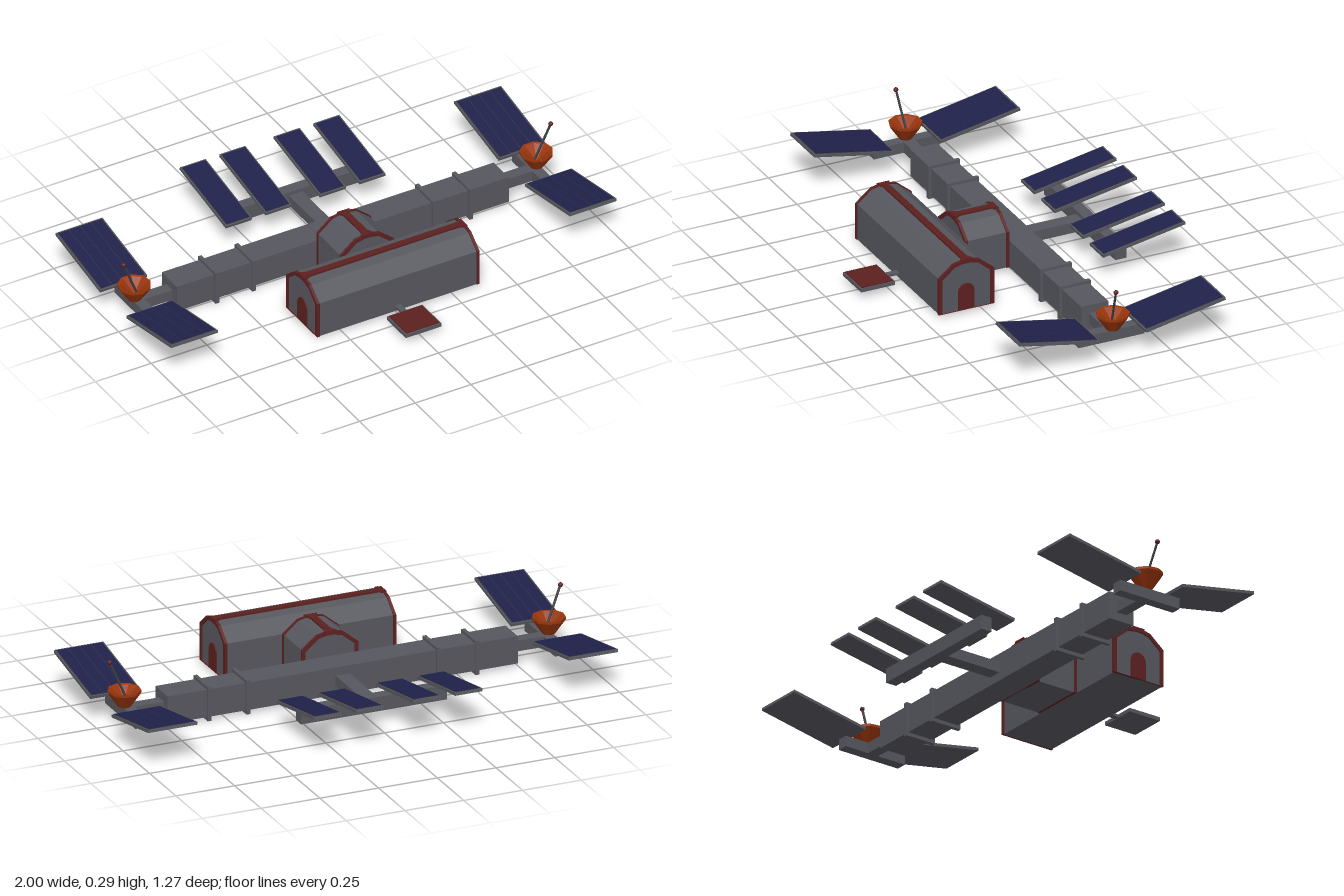
import * as THREE from 'three';

const mat = (name, color, extra = {}) => {
  const m = new THREE.MeshStandardMaterial({ color, flatShading: true, ...extra });
  m.name = name;
  return m;
};

export function createModel() {
  const root = new THREE.Group();
  root.name = 'spaceStation';
  const hull = mat('hullGrey', 0x56575e);
  const dark = mat('darkGrey', 0x3c3d42);
  const red = mat('darkRed', 0x5c2020);
  const navy = mat('solarNavy', 0x20214a);
  const rust = mat('rustOrange', 0x98350c, { side: THREE.DoubleSide });

  const add = (parent, name, geo, material, x = 0, y = 0, z = 0) => {
    const m = new THREE.Mesh(geo, material);
    m.name = name;
    m.position.set(x, y, z);
    parent.add(m);
    return m;
  };
  // Box given by its min and max on each axis
  const box = (parent, name, material, x0, x1, y0, y1, z0, z1) =>
    add(parent, name, new THREE.BoxGeometry(x1 - x0, y1 - y0, z1 - z0), material,
      (x0 + x1) / 2, (y0 + y1) / 2, (z0 + z1) / 2);
  const extrude = (shape, depth) =>
    new THREE.ExtrudeGeometry(shape, { depth, bevelEnabled: false }).translate(0, 0, -depth / 2);

  // Vaulted cross-section, inset by d
  const vaultPoints = (d) => {
    const half = [[0.12 - d, 0.015], [0.12 - d, 0.17 - d * 0.5], [0.055 - d * 0.3, 0.223 - d], [0.015, 0.231 - d]];
    return [...half, ...half.slice().reverse().map(([u, y]) => [-u, y])]
      .map(([u, y]) => new THREE.Vector2(u, y));
  };

  // Vaulted module along z with red end frames and a flared ridge strip
  const vault = (name, length) => {
    const g = new THREE.Group();
    g.name = name;
    add(g, 'moduleShell', extrude(new THREE.Shape(vaultPoints(0.004)), length - 0.012), hull);
    const frame = new THREE.Shape(vaultPoints(0));
    frame.holes.push(new THREE.Path(vaultPoints(0.015).reverse()));
    const frameGeo = extrude(frame, 0.012);
    const e = length / 2;
    for (const s of [-1, 1]) add(g, 'endFrame', frameGeo, red, 0, 0, s * (e - 0.006));
    const f = e - 0.03;
    const strip = new THREE.Shape([
      [-0.028, -e], [0.028, -e], [0.014, -f], [0.014, f],
      [0.028, e], [-0.028, e], [-0.014, f], [-0.014, -f],
    ].map(([a, b]) => new THREE.Vector2(a, b)));
    add(g, 'ridgeStrip', extrude(strip, 0.009).rotateX(-Math.PI / 2), red, 0, 0.2305, 0);
    root.add(g);
    return g;
  };

  // Main habitat, lying along x, with an arched door at each end
  const habitat = vault('habitat', 0.73);
  habitat.rotation.y = Math.PI / 2;
  habitat.position.z = 0.32;
  const door = new THREE.Shape();
  door.moveTo(-0.035, 0.016);
  door.lineTo(0.035, 0.016);
  door.lineTo(0.035, 0.093);
  door.absarc(0, 0.093, 0.035, 0, Math.PI, false);
  door.closePath();
  const doorGeo = new THREE.ExtrudeGeometry(door, { depth: 0.008, bevelEnabled: false, curveSegments: 4 })
    .translate(0, 0, -0.004);
  for (const s of [-1, 1]) add(habitat, 'door', doorGeo, red, 0, 0, s * 0.36);

  // Passage joining the habitat to the truss
  vault('passage', 0.19).position.z = 0.108;

  // Landing pad in front of the habitat
  box(root, 'padStem', hull, -0.012, 0.012, 0.03, 0.04, 0.43, 0.5);
  box(root, 'pad', hull, -0.08, 0.08, 0.029, 0.044, 0.488, 0.635);
  box(root, 'padTop', red, -0.074, 0.074, 0.044, 0.048, 0.494, 0.629);

  // Main truss and its collars
  box(root, 'truss', hull, -0.745, 0.745, 0.015, 0.13, -0.105, 0.012);
  for (const x of [-0.57, -0.405, 0.405, 0.57])
    box(root, 'collar', hull, x - 0.008, x + 0.008, 0, 0.142, -0.113, 0.024);

  // Solar panel tilted up away from the truss: d is the z direction it rises in
  const panel = (name, x, zNear, zFar, width, columns) => {
    const g = new THREE.Group();
    g.name = name;
    const run = Math.abs(zFar - zNear), rise = 0.065;
    const len = Math.hypot(run, rise), d = Math.sign(zFar - zNear);
    add(g, 'panelFrame', new THREE.BoxGeometry(width, 0.012, len), hull);
    add(g, 'panelBacking', new THREE.BoxGeometry(width - 0.01, 0.002, len - 0.012), dark, 0, 0.0065, 0);
    const w = (width - 0.014) / columns;
    for (let i = 0; i < columns; i++)
      add(g, 'solarCells', new THREE.BoxGeometry(w - (columns > 1 ? 0.003 : 0), 0.003, len - 0.016), navy,
        (i - (columns - 1) / 2) * w, 0.0075, 0);
    g.position.set(x, 0.138, (zNear + zFar) / 2);
    g.rotation.x = -d * Math.atan2(rise, run);
    root.add(g);
  };

  // Rear spar with four narrow panels
  box(root, 'rearSpar', hull, -0.03, 0.03, 0.05, 0.095, -0.38, -0.1);
  box(root, 'rearCrossbar', hull, -0.31, 0.31, 0.05, 0.11, -0.4, -0.352);
  for (const x of [-0.3, -0.122, 0.122, 0.3]) panel('rearPanel', x, -0.275, -0.632, 0.116, 1);

  // Both ends of the truss: arm, crossbar, wide panels, dish and mast
  const dishGeo = new THREE.LatheGeometry(
    [[0, 0.095], [0.026, 0.095], [0.067, 0.155], [0.067, 0.165], [0.058, 0.163], [0, 0.118]]
      .map(([r, y]) => new THREE.Vector2(r, y)), 9);
  for (const s of [-1, 1]) {
    const span = (a, b) => (s > 0 ? [a, b] : [-b, -a]);
    box(root, 'endArm', hull, ...span(0.74, 0.88), 0.05, 0.095, -0.07, -0.022);
    box(root, 'endCrossbar', hull, ...span(0.87, 0.915), 0.05, 0.095, -0.178, 0.108);
    panel('wingPanelFront', s * 0.895, 0.06, 0.405, 0.21, 4);
    panel('wingPanelRear', s * 0.895, -0.142, -0.487, 0.21, 4);
    add(root, 'dish', dishGeo, rust, s * 0.903, 0, -0.046);
    const foot = new THREE.Vector3(s * 0.89, 0.115, -0.047);
    const tip = new THREE.Vector3(s * 0.959, 0.282, -0.032);
    const mast = add(root, 'mast', new THREE.CylinderGeometry(0.005, 0.005, foot.distanceTo(tip), 6), dark);
    mast.position.lerpVectors(foot, tip, 0.5);
    mast.quaternion.setFromUnitVectors(new THREE.Vector3(0, 1, 0), tip.clone().sub(foot).normalize());
    add(root, 'mastTip', new THREE.IcosahedronGeometry(0.01, 1), red, tip.x, tip.y, tip.z);
  }
  return root;
}
